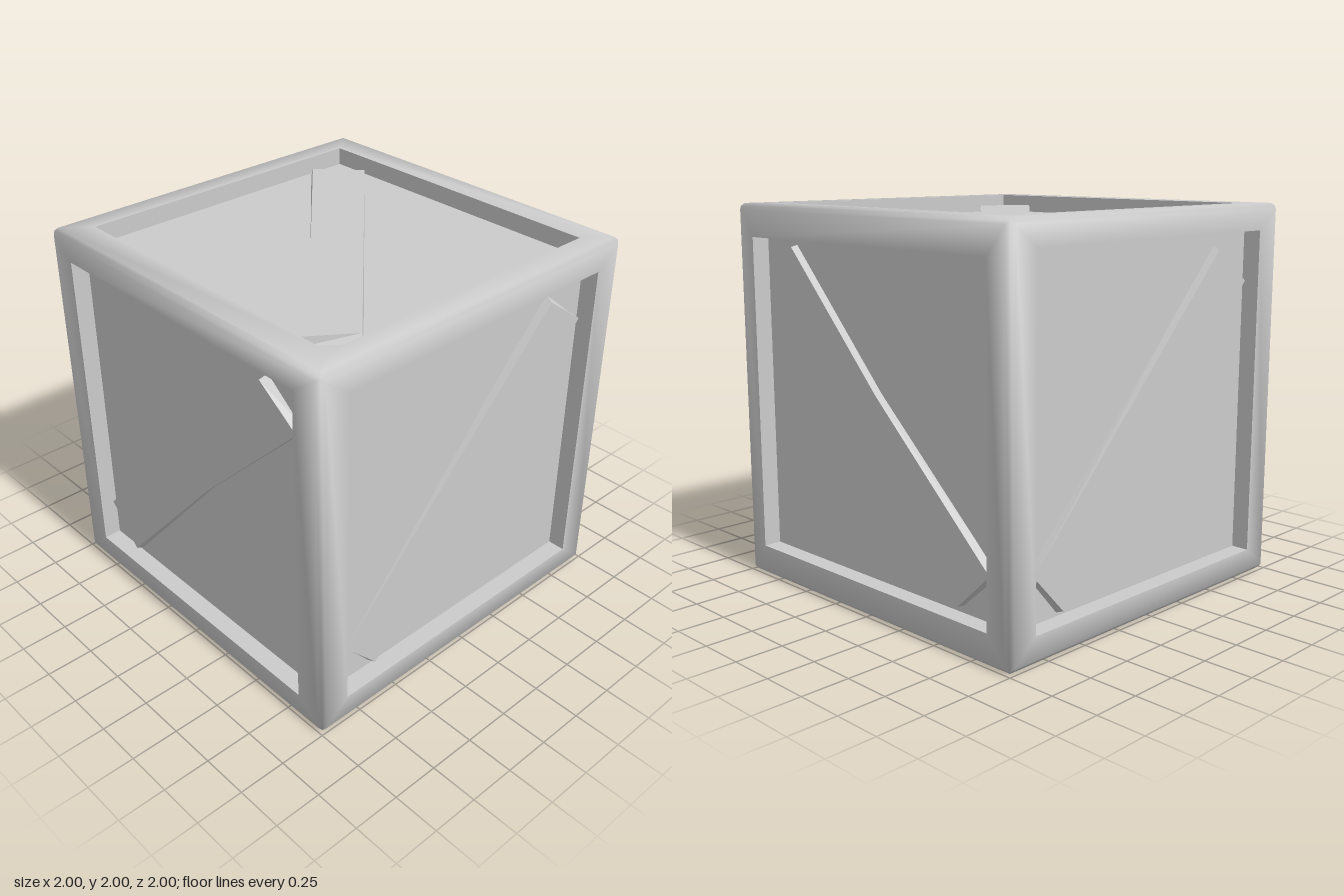
import * as THREE from 'three';

const material = new THREE.MeshStandardMaterial({ color: 0xcccccc });

// Four corners of a rectangle, counter-clockwise, at depth z
const rect = (x0, x1, y0, y1, z) => [[x0, y0, z], [x1, y0, z], [x1, y1, z], [x0, y1, z]];
const at = (points, z) => points.map(([x, y]) => [x, y, z]);

// Corner normals leaning outwards by `lean`
const leaning = (loop, lean) => loop.map(([x, y]) =>
  new THREE.Vector3(Math.sign(x) * lean, Math.sign(y) * lean, 1).normalize().toArray());

// Band between loop a and loop b; flat unless normals are given
function band(a, b, na, nb) {
  const pos = [], nor = [];
  a.forEach((_, i) => {
    const j = (i + 1) % a.length;
    pos.push(a[i], a[j], b[j], a[i], b[j], b[i]);
    if (na) nor.push(na[i], na[j], nb[j], na[i], nb[j], nb[i]);
  });
  const g = new THREE.BufferGeometry();
  g.setAttribute('position', new THREE.Float32BufferAttribute(pos.flat(), 3));
  if (na) g.setAttribute('normal', new THREE.Float32BufferAttribute(nor.flat(), 3));
  else g.computeVertexNormals();
  return g;
}

// Flat polygon facing +z
function cap(points, z) {
  const shape = new THREE.Shape(points.map(([x, y]) => new THREE.Vector2(x, y)));
  return new THREE.ShapeGeometry(shape).translate(0, 0, z);
}

function part(parent, name, ...geometries) {
  const group = new THREE.Group();
  group.name = name;
  geometries.forEach((g) => {
    const mesh = new THREE.Mesh(g, material);
    mesh.name = name;
    group.add(mesh);
  });
  parent.add(group);
}

// One side of the crate, facing +z
function createSide() {
  const side = new THREE.Group();
  const panelZ = 0.905;

  // Bevelled frame border with softly shaded edges
  const edge = rect(-0.985, 0.985, -0.985, 0.985, 0.985);
  const outer = rect(-0.97, 0.97, -0.97, 0.97, 1);
  const inner = rect(-0.835, 0.83, -0.855, 0.865, 1);
  const floor = at(inner, panelZ);
  part(side, 'frame',
    band(edge, outer, leaning(edge, 1), leaning(outer, 0.5)),
    band(outer, inner, leaning(outer, 0.5), leaning(inner, 0)),
    band(inner, floor));

  // Recessed panel
  part(side, 'panel', cap(inner, panelZ));

  // Diagonal plank with one bent edge and slightly sloping ends
  const base = [[-0.8, -0.61], [-0.6, -0.84], [0.12, -0.04], [0.8, 0.61], [0.565, 0.8]];
  const top = [[-0.795, -0.605], [-0.595, -0.82], [0.12, -0.04], [0.79, 0.605], [0.55, 0.775]];
  const topZ = 0.947;
  part(side, 'plank', band(at(base, panelZ - 0.01), at(top, topZ)), cap(top, topZ));
  return side;
}

export function createModel() {
  const crate = new THREE.Group();
  crate.name = 'crate';
  const q = Math.PI / 2;

  // Name, tilt about x, turn about y, spin within the side's own plane
  const sides = [
    ['frontSide', 0, 0, 0],
    ['backSide', 0, 2 * q, 0],
    ['leftSide', 0, q, q],
    ['rightSide', 0, -q, 0],
    ['topSide', -q, 0, 2 * q],
    ['bottomSide', q, 0, 0],
  ];
  for (const [name, tilt, turn, spin] of sides) {
    const side = createSide();
    side.name = name;
    side.rotation.set(tilt, turn, spin);
    side.position.y = 1;
    crate.add(side);
  }
  return crate;
}
